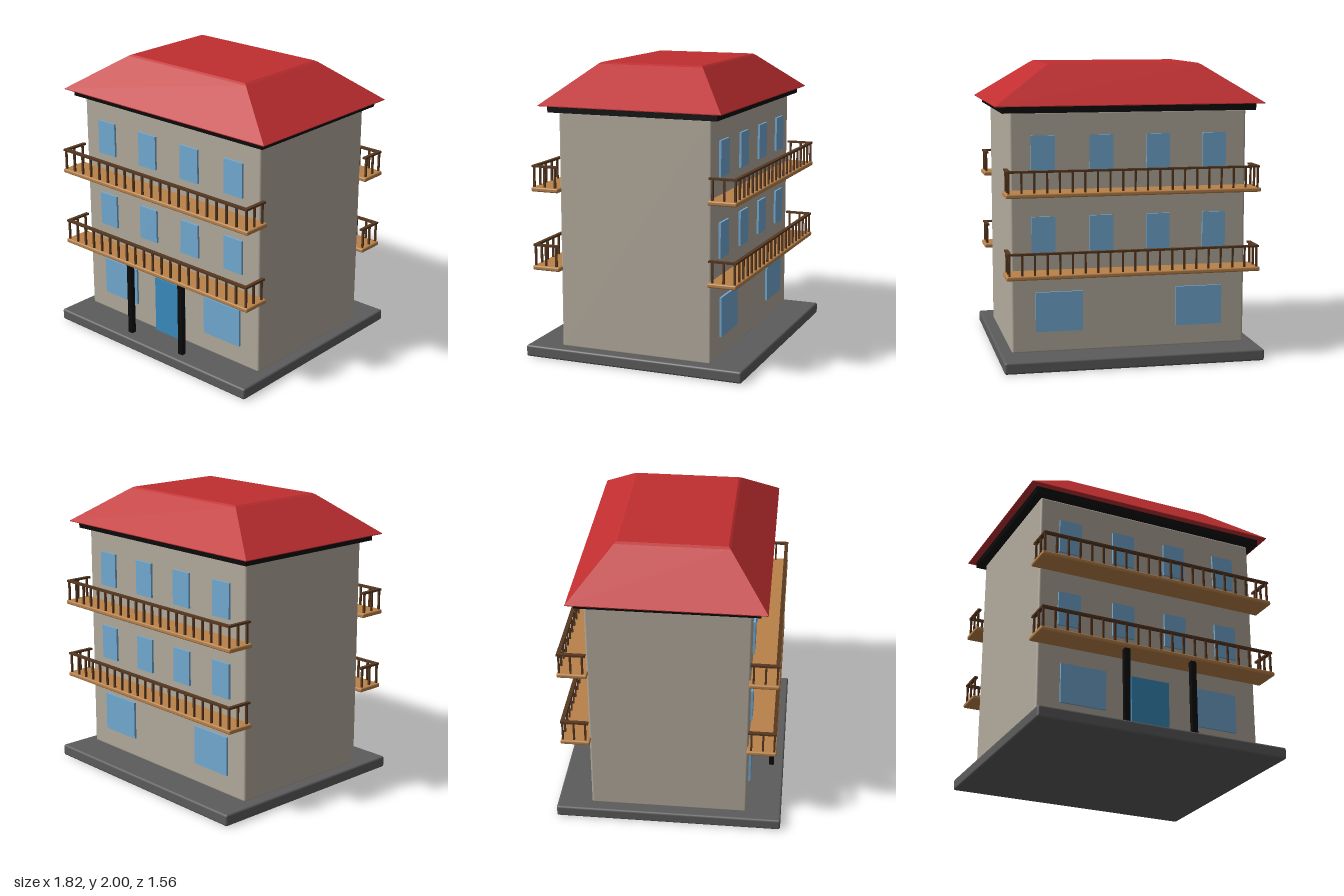
import * as THREE from 'three';
import { RoundedBoxGeometry } from 'three/addons/geometries/RoundedBoxGeometry.js';

const mat = (name, color) => {
  const m = new THREE.MeshStandardMaterial({ color });
  m.name = name;
  return m;
};

// Frustum with a rectangular base and top, flat-shaded slopes
function hipGeometry(rings) {
  const pos = [];
  const corners = ([y, x, z]) => [[-x, y, z], [x, y, z], [x, y, -z], [-x, y, -z]];
  const quad = (a, b, c, d) => pos.push(...a, ...b, ...c, ...a, ...c, ...d);
  for (let r = 0; r < rings.length - 1; r++) {
    const lo = corners(rings[r]), hi = corners(rings[r + 1]);
    for (let i = 0; i < 4; i++) {
      const j = (i + 1) % 4;
      quad(lo[i], lo[j], hi[j], hi[i]);
    }
  }
  quad(...corners(rings[rings.length - 1]));
  quad(...corners(rings[0]).reverse());
  const g = new THREE.BufferGeometry();
  g.setAttribute('position', new THREE.Float32BufferAttribute(pos, 3));
  g.computeVertexNormals();
  return g;
}

export function createModel() {
  const plaster = mat('plaster', 0xb2aa9c);
  const stone = mat('stone', 0x5c5c5c);
  const tile = mat('roofTile', 0xc02e30);
  const black = mat('blackTrim', 0x0a0a0a);
  const wood = mat('lightWood', 0xb9824a);
  const darkWood = mat('darkWood', 0x573820);
  const glass = mat('glass', 0x72aad2);
  const doorBlue = mat('doorBlue', 0x3a8bbd);

  const house = new THREE.Group();
  house.name = 'house';

  const add = (parent, name, geometry, material, x, y, z) => {
    const m = new THREE.Mesh(geometry, material);
    m.name = name;
    m.position.set(x, y, z);
    parent.add(m);
    return m;
  };
  const box = (parent, name, w, h, d, material, x, y, z) =>
    add(parent, name, new THREE.BoxGeometry(w, h, d), material, x, y, z);
  const rounded = (parent, name, w, h, d, r, material, x, y, z) =>
    add(parent, name, new RoundedBoxGeometry(w, h, d, 3, r), material, x, y, z);

  // Base, walls, eaves and roof
  rounded(house, 'base', 1.77, 0.08, 1.56, 0.015, stone, 0, 0.04, 0);
  rounded(house, 'walls', 1.61, 1.62, 1.08, 0.015, plaster, 0, 0.885, 0);
  box(house, 'eaves', 1.72, 0.05, 1.19, black, 0, 1.715, 0);
  add(house, 'roof', hipGeometry([
    [1.735, 0.91, 0.64], [1.74, 0.91, 0.64], [1.99, 0.535, 0.375], [2, 0.515, 0.36],
  ]), tile, 0, 0, 0);

  // Balcony with a railing on its three open sides
  function balcony(parent, y) {
    const g = new THREE.Group();
    g.name = 'balcony';
    g.position.y = y;
    parent.add(g);
    rounded(g, 'balconyFloor', 1.72, 0.03, 0.2, 0.01, wood, 0, 0.015, 0.63);
    const railY = 0.171;
    box(g, 'frontRail', 1.7, 0.014, 0.026, darkWood, 0, railY, 0.714);
    const post = new THREE.BoxGeometry(0.013, 0.14, 0.013);
    for (let i = 0; i < 21; i++) {
      add(g, 'railPost', post, darkWood, -0.838 + i * 0.0838, 0.097, 0.714);
    }
    for (const s of [-1, 1]) {
      box(g, 'sideRail', 0.026, 0.014, 0.18, darkWood, s * 0.837, railY, 0.627);
      for (const z of [0.56, 0.638]) add(g, 'railPost', post, darkWood, s * 0.838, 0.097, z);
    }
  }

  // Front and back share windows and balconies
  for (const [name, turn] of [['frontSide', 0], ['backSide', Math.PI]]) {
    const side = new THREE.Group();
    side.name = name;
    side.rotation.y = turn;
    house.add(side);
    for (const y of [0.88, 1.42]) {
      for (const x of [-0.588, -0.195, 0.193, 0.583]) {
        box(side, 'window', 0.16, 0.24, 0.03, glass, x, y, 0.54);
      }
    }
    for (const s of [-1, 1]) {
      box(side, 'largeWindow', 0.32, 0.27, 0.03, glass, s * 0.483, 0.355, 0.54);
    }
    balcony(side, 0.61);
    balcony(side, 1.15);
  }

  // Entrance door and porch columns
  box(house, 'door', 0.275, 0.41, 0.03, doorBlue, -0.002, 0.285, 0.54);
  for (const s of [-1, 1]) {
    box(house, 'porchColumn', 0.038, 0.54, 0.035, black, s * 0.243, 0.345, 0.692);
  }

  return house;
}
